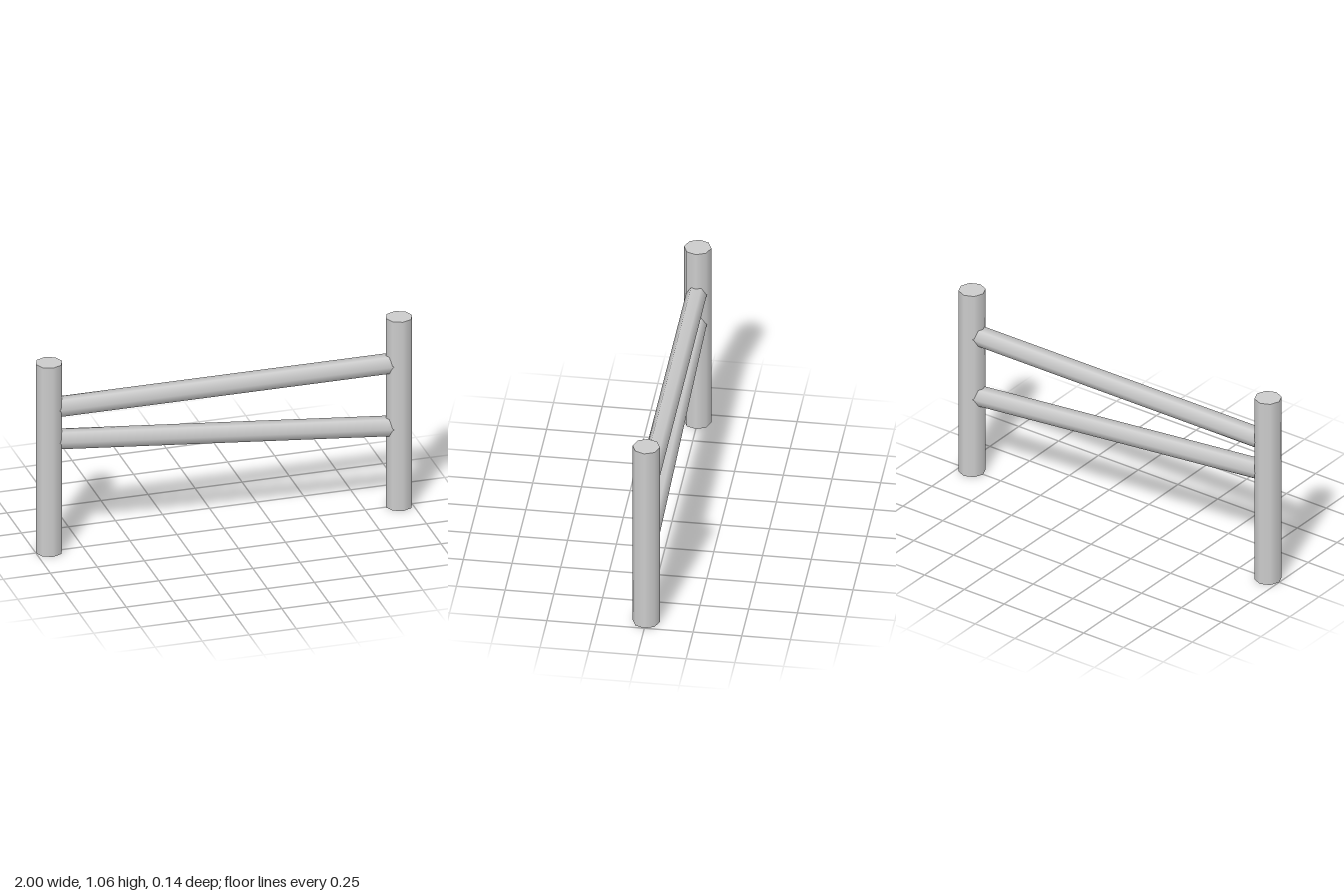
import * as THREE from 'three';

const POST_X = 0.93, POST_R = 0.07, POST_H = 1.06, RAIL_R = 0.053;

export function createModel() {
  const model = new THREE.Group();
  model.name = 'railFence';
  const metal = new THREE.MeshStandardMaterial({ color: 0xcccccc, side: THREE.DoubleSide });
  metal.name = 'paleGrey';

  const add = (parent, name, geometry) => {
    const mesh = new THREE.Mesh(geometry, metal);
    mesh.name = name;
    parent.add(mesh);
    return mesh;
  };

  // Eight-sided hollow posts, closed at the top and open at the bottom
  for (const [name, side] of [['rightPost', -1], ['leftPost', 1]]) {
    const post = new THREE.Group();
    post.name = name;
    post.position.x = side * POST_X;
    add(post, 'postTube', new THREE.CylinderGeometry(POST_R, POST_R, POST_H, 8, 1, true)).position.y = POST_H / 2;
    const cap = add(post, 'postCap', new THREE.CircleGeometry(POST_R, 8));
    cap.rotation.x = -Math.PI / 2;
    cap.position.y = POST_H;
    model.add(post);
  }

  // Six-sided rails running between the post centres
  const addRail = (name, yRight, yLeft) => {
    const rise = yLeft - yRight;
    const length = Math.hypot(2 * POST_X, rise);
    const rail = add(model, name, new THREE.CylinderGeometry(RAIL_R, RAIL_R, length, 6, 1, true));
    rail.rotation.z = Math.atan2(rise, 2 * POST_X) - Math.PI / 2;
    rail.position.y = (yRight + yLeft) / 2;
  };
  addRail('topRail', 0.805, 0.805);
  addRail('slopingRail', 0.629, 0.449);

  return model;
}
